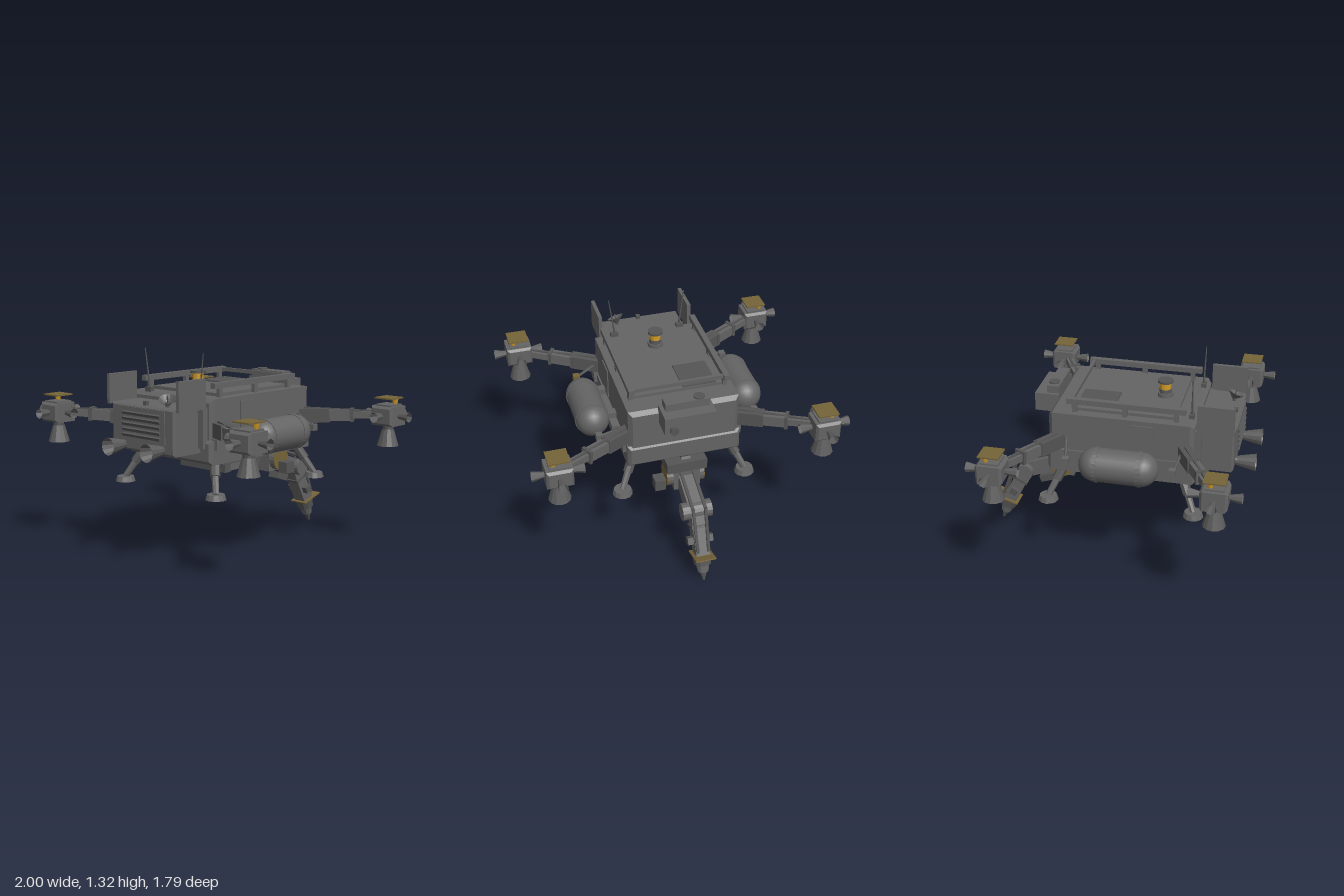
import * as THREE from 'three';

const mat = (name, color, side = THREE.FrontSide) => {
  const m = new THREE.MeshStandardMaterial({ color, side, flatShading: true });
  m.name = name;
  return m;
};

export function createModel() {
  const root = new THREE.Group();
  root.name = 'lander';
  const grey = mat('hullGrey', 0x646464);
  const tankGrey = mat('tankGrey', 0x646464);
  tankGrey.flatShading = false;
  const dark = mat('darkGrey', 0x555555);
  const nozzleMat = mat('nozzleGrey', 0x5c5c5c, THREE.DoubleSide);
  const amber = mat('amber', 0xd09a28);
  const gold = mat('dullGold', 0x756438);
  const V = (x, y, z) => new THREE.Vector3(x, y, z);

  const add = (name, geo, m, x = 0, y = 0, z = 0, parent = root) => {
    const mesh = new THREE.Mesh(geo, m);
    mesh.name = name;
    mesh.position.set(x, y, z);
    parent.add(mesh);
    return mesh;
  };
  // Box given by its limits on each axis
  const span = (name, m, x0, x1, y0, y1, z0, z1, parent) =>
    add(name, new THREE.BoxGeometry(x1 - x0, y1 - y0, z1 - z0), m, (x0 + x1) / 2, (y0 + y1) / 2, (z0 + z1) / 2, parent);
  // Box with chamfered edges
  const chamfer = (w, h, d, c) => {
    const a = w / 2 - c, b = h / 2 - c;
    const s = new THREE.Shape([[-a, -b], [a, -b], [a, b], [-a, b]].map(p => new THREE.Vector2(...p)));
    return new THREE.ExtrudeGeometry(s, { depth: d - 2 * c, bevelSize: c, bevelThickness: c, bevelSegments: 1 })
      .translate(0, 0, c - d / 2);
  };
  // Square beam between two points
  const beam = (name, m, a, b, w, h, parent = root) => {
    const mesh = add(name, new THREE.BoxGeometry(w, h, a.distanceTo(b)), m, 0, 0, 0, parent);
    mesh.position.copy(a).lerp(b, 0.5);
    mesh.quaternion.setFromRotationMatrix(new THREE.Matrix4().lookAt(b, a, V(0, 1, 0)));
    return mesh;
  };
  // Round rod or cone between two points
  const rod = (name, m, a, b, r0, r1 = r0, n = 8, open = false, parent = root) => {
    const mesh = add(name, new THREE.CylinderGeometry(r1, r0, a.distanceTo(b), n, 1, open), m, 0, 0, 0, parent);
    mesh.position.copy(a).lerp(b, 0.5);
    mesh.quaternion.setFromUnitVectors(V(0, 1, 0), b.clone().sub(a).normalize());
    return mesh;
  };

  // Hull
  add('hull', chamfer(0.71, 0.34, 0.92, 0.025), grey, 0, 0.88, 0.06);
  add('lowerHullBand', chamfer(0.73, 0.15, 0.95, 0.02), grey, 0, 0.725, 0.065);
  span('roofDeck', grey, -0.29, 0.29, 1.04, 1.07, -0.245, 0.395);
  span('roofHatch', dark, -0.25, -0.035, 1.07, 1.078, -0.24, 0);
  add('roofPort', new THREE.CylinderGeometry(0.05, 0.05, 0.04, 16), grey, 0, 1.075, 0.275);
  for (const s of [-1, 1]) {
    span('sideHatch', grey, s * 0.358 - 0.004, s * 0.358 + 0.004, 0.82, 1.02, 0.13, 0.27);
    span('sideRail', grey, s * 0.385 - 0.02, s * 0.385 + 0.02, 0.74, 0.8, -0.16, 0.27);
    for (const z of [-0.32, 0.47]) span('cornerBlock', grey, s * 0.36 - 0.025, s * 0.36 + 0.025, 0.74, 0.81, z - 0.04, z + 0.04);
    // Roof rails
    span('roofRail', grey, s * 0.305 - 0.018, s * 0.305 + 0.018, 1.105, 1.14, -0.29, 0.46);
    for (const z of [-0.24, 0.08, 0.4]) span('railPost', grey, s * 0.305 - 0.013, s * 0.305 + 0.013, 1.04, 1.11, z - 0.015, z + 0.015);
  }
  span('rearCrossRail', grey, -0.3, 0.3, 1.11, 1.135, -0.27, -0.25);

  // Beacon
  add('beaconBase', new THREE.CylinderGeometry(0.038, 0.045, 0.06, 12), dark, 0, 1.09, 0.275);
  add('beaconLamp', new THREE.CylinderGeometry(0.036, 0.036, 0.045, 12), amber, 0, 1.142, 0.275);
  add('beaconCap', new THREE.CylinderGeometry(0.05, 0.05, 0.014, 12), dark, 0, 1.172, 0.275);

  // Front module with louvred panel
  add('frontModule', chamfer(0.55, 0.285, 0.25, 0.012), grey, 0, 0.862, 0.635);
  span('louvreFrame', grey, -0.2, 0.2, 0.785, 0.99, 0.755, 0.767);
  for (let i = 0; i < 5; i++) {
    const slat = span('louvreSlat', dark, -0.165, 0.165, 0.808 + i * 0.034, 0.826 + i * 0.034, 0.76, 0.778);
    slat.rotation.x = 0.4;
  }
  span('moduleSensor', dark, -0.013, 0.013, 1.0, 1.03, 0.715, 0.74);
  for (const s of [-1, 1]) {
    span('sidePlate', grey, s * 0.305 - 0.012, s * 0.305 + 0.012, 0.99, 1.175, 0.53, 0.76);
    span('plateBracket', grey, s * 0.29 - 0.027, s * 0.29 + 0.027, 0.75, 1.0, 0.51, 0.56);
    rod('mainNozzleNeck', dark, V(s * 0.17, 0.75, 0.74), V(s * 0.17, 0.75, 0.785), 0.03, 0.03, 12);
    rod('mainNozzle', nozzleMat, V(s * 0.17, 0.75, 0.775), V(s * 0.17, 0.75, 0.89), 0.032, 0.056, 12, true);
    // Antennas
    span('antennaMount', dark, s * 0.225 - 0.025, s * 0.225 + 0.025, 1.04, 1.075, 0.47, 0.5);
    rod('antenna', dark, V(s * 0.22, 1.06, 0.485), V(s * 0.255, 1.32, 0.49), 0.007, 0.003, 6);
  }
  // Dish
  rod('dishStand', dark, V(0.155, 1, 0.695), V(0.155, 1.035, 0.695), 0.012);
  rod('dish', nozzleMat, V(0.155, 1.02, 0.69), V(0.165, 1.055, 0.705), 0.012, 0.056, 14, true);
  rod('dishFeed', dark, V(0.155, 1.02, 0.69), V(0.167, 1.075, 0.71), 0.005);

  // Rear equipment box
  span('rearBox', grey, -0.16, 0.165, 0.955, 1.075, -0.54, -0.385);
  span('rearBoxTop', grey, -0.14, 0.14, 1.07, 1.125, -0.465, -0.385);
  add('rearBoxPort', new THREE.CylinderGeometry(0.035, 0.035, 0.012, 14), dark, -0.08, 1.128, -0.43);
  rod('rearLens', dark, V(0.11, 0.99, -0.53), V(0.11, 0.99, -0.565), 0.027, 0.027, 10);

  // Underside hatch
  span('bellyPlate', dark, -0.22, 0.22, 0.6, 0.655, -0.09, 0.28);
  span('bellyBox', grey, -0.17, 0.17, 0.54, 0.6, -0.075, 0.225);
  for (const z of [-0.065, 0.215]) span('bellySkid', dark, -0.2, 0.2, 0.54, 0.6, z - 0.025, z + 0.025);

  // Side tanks: capsule profile turned around z
  for (const s of [-1, 1]) {
    add('tank', new THREE.CapsuleGeometry(0.107, 0.3, 6, 24).rotateX(Math.PI / 2).scale(1, 1, 0.97), tankGrey, s * 0.51, 0.807, 0.085);
    for (const z of [-0.05, 0.22]) {
      rod('tankBand', grey, V(s * 0.51, 0.807, z - 0.012), V(s * 0.51, 0.807, z + 0.012), 0.111, 0.111, 24);
      span('tankBracket', grey, s * 0.38 - 0.04, s * 0.38 + 0.04, 0.77, 0.84, z - 0.025, z + 0.025);
    }
  }

  // Corner assemblies: arm, thruster pod, leg and sensor boom
  for (const s of [-1, 1]) for (const f of [-1, 1]) {
    const front = f > 0, pz = front ? 0.73 : -0.61, hz = front ? 0.46 : -0.33;
    const hip = V(s * 0.34, 0.86, hz), tip = V(s * 0.79, 0.885, pz - f * 0.03);
    const at = t => hip.clone().lerp(tip, t);
    beam('armRoot', dark, hip, at(0.36), 0.075, 0.09);
    beam('armMiddle', grey, at(0.33), at(0.68), 0.065, 0.07);
    beam('armTip', grey, at(0.65), tip, 0.05, 0.045);
    for (const t of [0.36, 0.66]) beam('armCollar', dark, at(t - 0.02), at(t + 0.02), 0.08, 0.085);
    beam('armConduit', dark, at(0.05).add(V(0, 0.05, 0)), at(0.95).add(V(0, 0.02, 0)), 0.014, 0.014);

    const pod = new THREE.Group();
    pod.name = 'thrusterPod';
    pod.position.set(s * 0.84, 0.883, pz);
    root.add(pod);
    add('podBody', chamfer(0.165, 0.125, 0.165, 0.015), grey, 0, 0, 0, pod);
    for (const [dx, dz] of [[1, 0], [-1, 0], [0, 1], [0, -1]])
      rod('sideNozzle', nozzleMat, V(dx * 0.075, 0, dz * 0.075), V(dx * 0.16, 0, dz * 0.16), 0.016, 0.033, 8, true, pod);
    rod('nozzleNeck', dark, V(0, -0.05, 0), V(0, -0.1, 0), 0.035, 0.035, 10, false, pod);
    rod('downNozzle', nozzleMat, V(0, -0.09, 0), V(0, -0.198, 0), 0.038, 0.07, 12, true, pod);
    add('podCap', new THREE.BoxGeometry(0.12, 0.012, 0.12), grey, 0, 0.066, 0, pod);
    rod('plateStem', amber, V(s * 0.033, 0.06, -0.025), V(s * 0.033, 0.108, -0.025), 0.012, 0.022, 8, false, pod);
    add('topPlate', new THREE.BoxGeometry(0.132, 0.009, 0.132), gold, 0, 0.112, 0, pod);

    // Leg and foot
    const fz = front ? 0.54 : -0.4, foot = V(s * 0.405, 0.48, fz), knee = V(s * 0.31, 0.67, front ? 0.45 : -0.31);
    rod('leg', grey, knee, foot, 0.026, 0.02, 8);
    rod('legSleeve', dark, knee, knee.clone().lerp(foot, 0.5), 0.032, 0.032, 8);
    add('foot', new THREE.CylinderGeometry(0.055, 0.065, 0.033, 12), grey, foot.x, 0.467, fz);

    // Sensor boom
    const bz = front ? 0.42 : -0.25;
    rod('sensorBoom', dark, V(s * 0.35, 0.88, bz + f * 0.035), V(s * 0.51, 0.81, bz), 0.011, 0.009, 6);
    add('sensorCube', new THREE.BoxGeometry(0.042, 0.042, 0.042), s > 0 && front ? gold : grey, s * 0.51, 0.81, bz);
  }

  // Robotic arm under the tail
  const S = V(0, 0.53, -0.39), E = V(0, 0.43, -0.66), W = V(0, 0.16, -0.8), T = V(0, 0.003, -0.855);
  const lift = (p, dy, dz, x = 0) => p.clone().add(V(x, dy, dz));
  span('armMount', dark, -0.13, 0.13, 0.59, 0.66, -0.47, -0.31);
  span('shoulderBlock', grey, -0.085, 0.085, 0.45, 0.61, -0.465, -0.315);
  rod('shoulderJoint', grey, V(-0.11, S.y, S.z), V(0.12, S.y, S.z), 0.074, 0.074, 18);
  for (const [x, d] of [[-0.11, -1], [0.12, 1]]) rod('shoulderCap', gold, V(x, S.y, S.z), V(x + d * 0.008, S.y, S.z), 0.074, 0.074, 18);
  span('shoulderMotor', dark, 0.13, 0.2, 0.445, 0.52, -0.44, -0.36);
  beam('armCamera', dark, V(0, 0.63, -0.395), V(0, 0.655, -0.44), 0.06, 0.05);
  beam('upperArm', grey, S, E, 0.11, 0.1);
  beam('upperArmMotor', dark, V(0, 0.4, -0.46), V(0, 0.365, -0.565), 0.08, 0.045);
  rod('elbowJoint', grey, lift(E, 0, 0, -0.095), lift(E, 0, 0, 0.095), 0.056, 0.056, 16);
  beam('forearm', grey, E, W, 0.09, 0.09);
  const mid = t => E.clone().lerp(W, t);
  beam('forearmCollar', dark, mid(0.55), mid(0.7), 0.165, 0.05);
  beam('forearmBand', dark, mid(0.3), mid(0.36), 0.105, 0.105);
  for (const s of [-1, 1]) {
    rod('upperHose', dark, V(s * 0.04, 0.58, -0.46), V(s * 0.04, 0.49, -0.73), 0.011);
    rod('lowerHose', dark, V(s * 0.04, 0.49, -0.73), V(s * 0.035, 0.22, -0.83), 0.011);
  }
  // Wrist flange and drill
  beam('wristFlange', gold, V(0, 0.155, -0.73), V(0, 0.208, -0.895), 0.13, 0.009);
  const drill = t => W.clone().lerp(T, t);
  rod('wrist', dark, mid(0.95), drill(0.3), 0.062, 0.055, 12);
  rod('drillBody', grey, drill(0.25), drill(0.62), 0.045, 0.035, 10);
  rod('drillTip', dark, drill(0.6), T, 0.028, 0.006, 8);

  return root;
}
